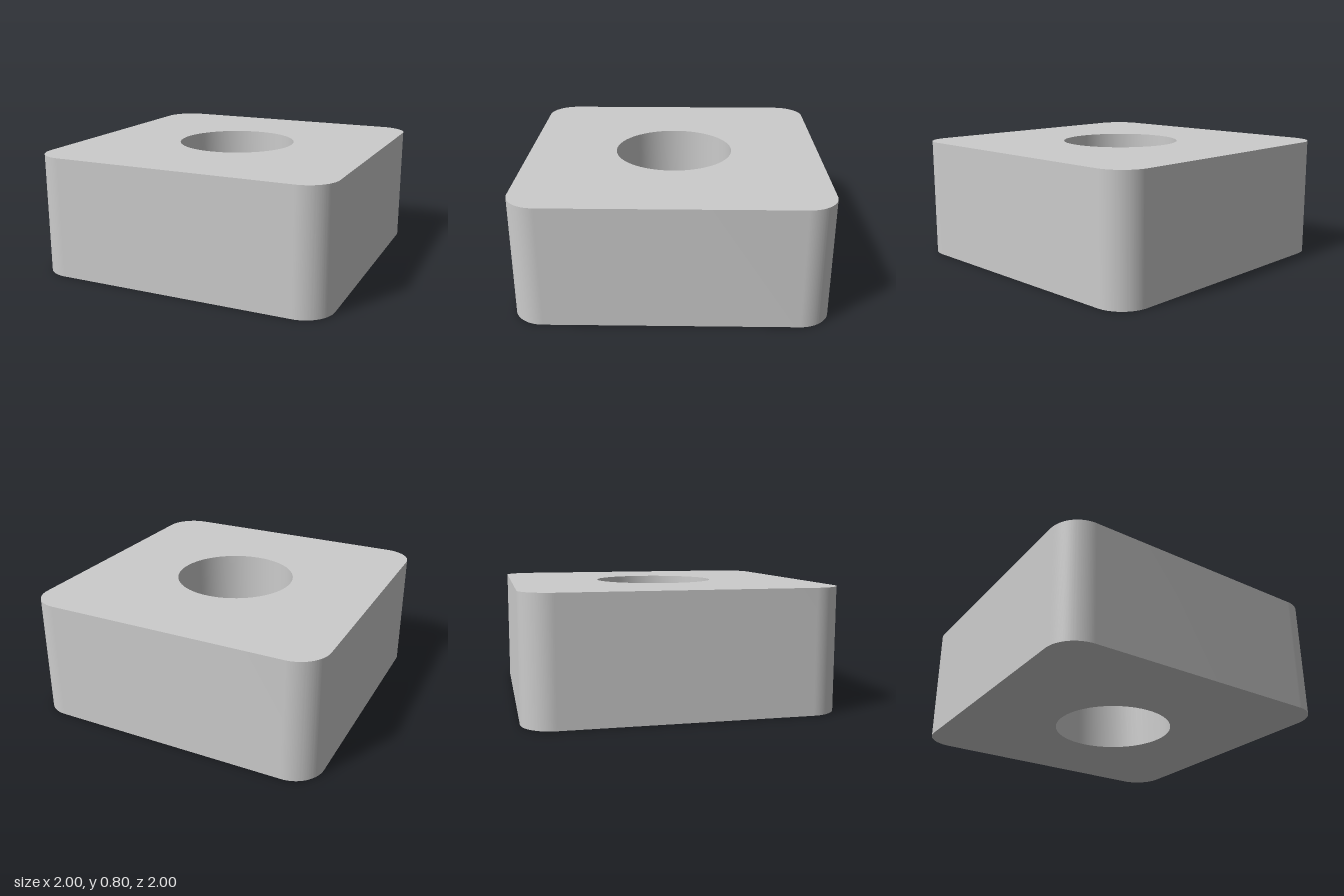
import * as THREE from 'three';
import { toCreasedNormals } from 'three/addons/utils/BufferGeometryUtils.js';

const HALF = 1, HEIGHT = 0.8, CORNER = 0.2, BORE = 0.4;

// Square outline with rounded corners, counter-clockwise
function roundedSquare(half, radius) {
  const shape = new THREE.Shape();
  const c = half - radius;
  [[c, c], [-c, c], [-c, -c], [c, -c]].forEach(([x, y], i) => {
    shape.absarc(x, y, radius, i * Math.PI / 2, (i + 1) * Math.PI / 2, false);
  });
  shape.closePath();
  return shape;
}

export function createModel() {
  const group = new THREE.Group();
  group.name = 'squareNut';

  // Block with a round bore straight through
  const outline = roundedSquare(HALF, CORNER);
  outline.holes.push(new THREE.Path().absarc(0, 0, BORE, 0, Math.PI * 2, true));

  const geometry = new THREE.ExtrudeGeometry(outline, {
    depth: HEIGHT, bevelEnabled: false, curveSegments: 32,
  });
  geometry.rotateX(-Math.PI / 2); // lay flat so the bore runs along y

  const block = new THREE.Mesh(
    toCreasedNormals(geometry, 0.6),
    new THREE.MeshStandardMaterial({ color: 0xcccccc }),
  );
  block.name = 'boredBlock';
  group.add(block);
  return group;
}
